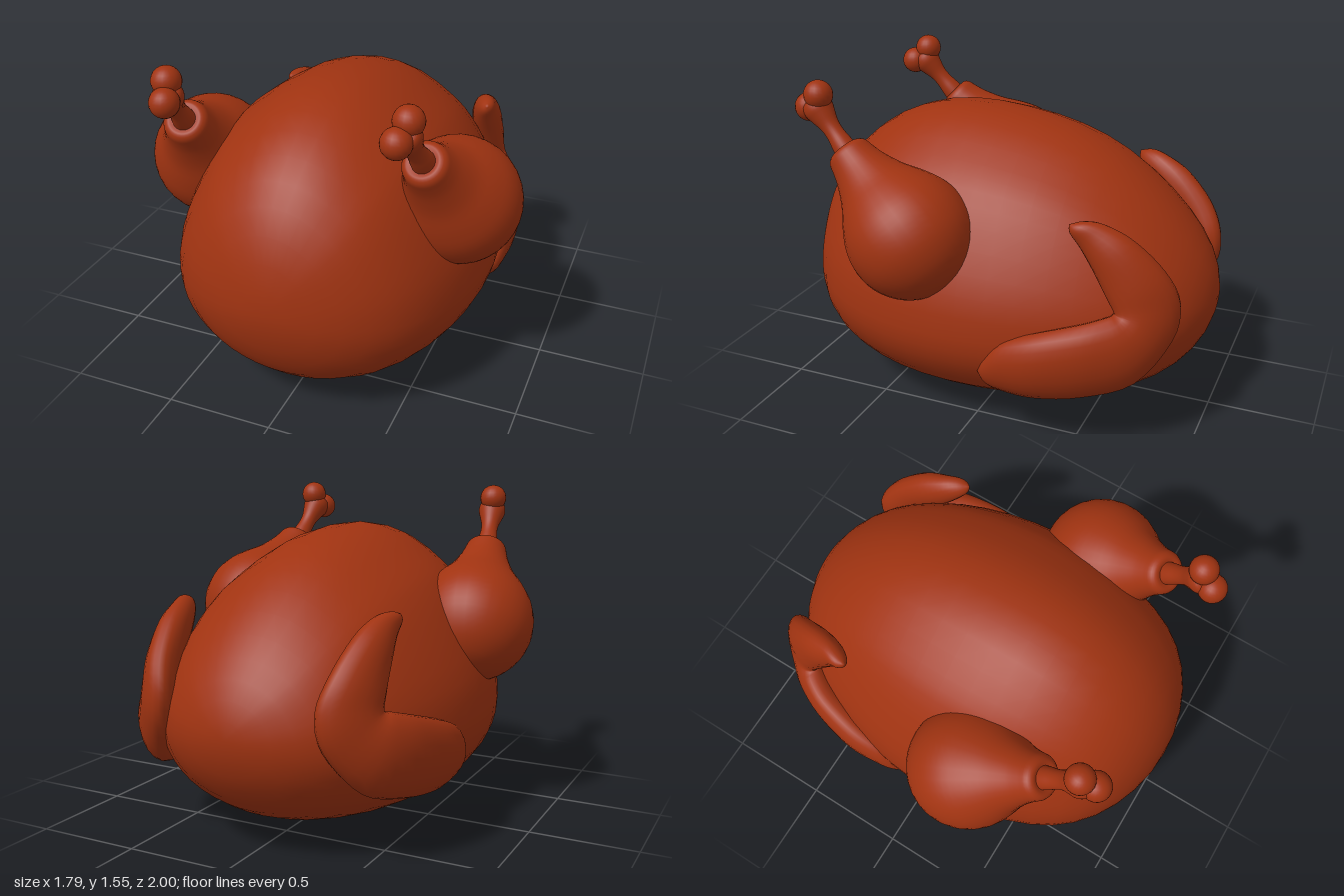
import * as THREE from 'three';
import { mergeVertices } from 'three/addons/utils/BufferGeometryUtils.js';

const V = (x, y, z) => new THREE.Vector3(x, y, z);
const spline = (pts) => new THREE.CatmullRomCurve3(pts, false, 'catmullrom', 0.5);
const material = new THREE.MeshStandardMaterial({ color: 0xa03311 });

function mesh(name, geometry) {
  const m = new THREE.Mesh(geometry, material);
  m.name = name;
  return m;
}

// Skin a list of closed rings with smooth normals
function loft(rings) {
  const n = rings[0].length;
  const index = [];
  for (let i = 0; i < rings.length - 1; i++) {
    for (let j = 0; j < n; j++) {
      const k = (j + 1) % n;
      const a = i * n + j, b = a + n, c = i * n + k, d = c + n;
      index.push(a, c, b, c, d, b);
    }
  }
  let g = new THREE.BufferGeometry().setFromPoints(rings.flat());
  g.setIndex(index);
  g = mergeVertices(g, 1e-5);
  g.computeVertexNormals();
  return g;
}

// Plump body: narrow-topped cross-section swept from front pole to back pole
function bodyGeometry() {
  // Half cross-section, x and y as fractions of half width and height
  const half = [[0, 1], [0.27, 0.95], [0.52, 0.81], [0.65, 0.71], [0.775, 0.56], [0.91, 0.34], [0.99, 0.13],
    [0.995, -0.12], [0.93, -0.37], [0.78, -0.63], [0.56, -0.83], [0.28, -0.96], [0, -1]];
  const outline = new THREE.CatmullRomCurve3(
    [...half, ...half.slice(1, -1).reverse().map(([x, y]) => [-x, y])].map(([x, y]) => V(x, y, 0)),
    true, 'catmullrom', 0.5);
  const section = outline.getPoints(48).slice(0, 48);
  // Half width, height above and depth below the middle, at even angles
  const size = spline([V(0.86, 1.02, 0.7), V(0.85, 1.0, 0.67), V(0.77, 0.955, 0.545), V(0.74, 0.86, 0.5),
    V(0.735, 0.815, 0.5), V(0.78, 0.71, 0.56), V(0.8, 0.66, 0.6)]);
  const middle = spline([0.6, 0.55, 0.5, 0.5, 0.5, 0.53, 0.56].map((y) => V(0, y, 0)));
  const rings = [];
  const steps = 24;
  for (let i = 0; i <= steps; i++) {
    const t = i / steps;
    const s = i === 0 || i === steps ? 0 : Math.sin(t * Math.PI);
    const z = Math.cos(t * Math.PI);
    const d = size.getPoint(t), y = middle.getPoint(t).y;
    // Sections grow rounder towards both ends
    const round = 0.5 * z * z;
    rings.push(section.map((p) => {
      const full = Math.sign(p.x) * Math.sqrt(Math.max(0, 1 - p.y * p.y));
      const x = THREE.MathUtils.lerp(p.x, full, round);
      return V(x * d.x * s, y + p.y * s * (p.y > 0 ? d.y : d.z), z);
    }));
  }
  return loft(rings);
}

// Folded wing: rounded sections between an outer and an inner edge
function wingGeometry() {
  // outer x, y, z, inner x, y, z, half thickness
  const stations = [
    [0.70, 0.35, -0.095, 0.70, 0.35, -0.095, 0],
    [0.675, 0.285, -0.13, 0.69, 0.43, -0.13, 0.05],
    [0.66, 0.255, -0.2, 0.69, 0.52, -0.21, 0.08],
    [0.645, 0.245, -0.35, 0.685, 0.585, -0.36, 0.1],
    [0.60, 0.27, -0.55, 0.645, 0.645, -0.55, 0.1],
    [0.515, 0.34, -0.76, 0.595, 0.675, -0.65, 0.095],
    [0.41, 0.53, -0.895, 0.57, 0.68, -0.67, 0.085],
    [0.385, 0.7, -0.915, 0.56, 0.69, -0.67, 0.08],
    [0.42, 0.85, -0.85, 0.55, 0.75, -0.63, 0.08],
    [0.46, 0.985, -0.72, 0.535, 0.86, -0.56, 0.075],
    [0.49, 1.05, -0.6, 0.53, 0.95, -0.5, 0.055],
    [0.52, 1.065, -0.52, 0.54, 1.01, -0.46, 0.035],
    [0.54, 1.05, -0.455, 0.54, 1.05, -0.455, 0],
  ];
  const outer = spline(stations.map((s) => V(s[0], s[1], s[2])));
  const inner = spline(stations.map((s) => V(s[3], s[4], s[5])));
  const thick = spline(stations.map((s) => V(s[6], 0, 0)));
  const rings = [];
  for (let i = 0; i <= 48; i++) {
    const t = i / 48;
    const o = outer.getPoint(t), e = inner.getPoint(t);
    const centre = o.clone().add(e).multiplyScalar(0.5);
    const across = e.clone().sub(o).multiplyScalar(0.5);
    const out = V(1, 0.15, 0.6 * o.z).normalize().multiplyScalar(thick.getPoint(t).x);
    rings.push(Array.from({ length: 20 }, (_, j) => {
      const a = (j / 20) * Math.PI * 2;
      return centre.clone().addScaledVector(across, Math.cos(a)).addScaledVector(out, Math.sin(a));
    }));
  }
  return loft(rings);
}

// Turned part whose profile [radius, distance] runs from one point towards another
function turned(name, profile, from, to) {
  const curve = new THREE.SplineCurve(profile.map(([r, h]) => new THREE.Vector2(r, h)));
  const points = curve.getPoints(profile.length * 3);
  points.forEach((p) => { p.x = Math.max(p.x, 0); });
  const m = mesh(name, new THREE.LatheGeometry(points, 32));
  m.position.copy(from);
  m.quaternion.setFromUnitVectors(V(0, 1, 0), to.clone().sub(from).normalize());
  return m;
}

function drumstick() {
  const leg = new THREE.Group();
  leg.name = 'drumstick';
  const thigh = V(0.61, 0.907, 0.26), cuff = V(0.55, 1.24, 0.6), end = V(0.52, 1.43, 0.765);

  // Meat with a rounded cuff around the bone
  leg.add(turned('legMeat', [[0, -0.285], [0.11, -0.263], [0.205, -0.2], [0.268, -0.105], [0.288, 0],
    [0.272, 0.1], [0.228, 0.19], [0.17, 0.28], [0.128, 0.37], [0.109, 0.43], [0.098, 0.47], [0.075, 0.49],
    [0.045, 0.485], [0, 0.475]], thigh, cuff));

  // Bone shaft flaring into two blunt knuckles
  leg.add(turned('legBone', [[0.058, -0.06], [0.05, 0.03], [0.042, 0.09], [0.044, 0.14], [0.058, 0.19],
    [0.068, 0.23], [0.055, 0.27], [0, 0.285]], cuff, end));
  for (const p of [V(0.53, 1.48, 0.742), V(0.505, 1.412, 0.81)]) {
    const knuckle = mesh('boneKnuckle', new THREE.SphereGeometry(0.066, 20, 14));
    knuckle.position.copy(p);
    leg.add(knuckle);
  }
  return leg;
}

export function createModel() {
  const model = new THREE.Group();
  model.name = 'roastBird';
  model.add(mesh('body', bodyGeometry()));

  // Drumstick and wing on each side
  const wing = wingGeometry();
  for (const side of [1, -1]) {
    const limbs = new THREE.Group();
    limbs.name = side > 0 ? 'leftLimbs' : 'rightLimbs';
    limbs.add(drumstick(), mesh('wing', wing));
    limbs.scale.x = side;
    model.add(limbs);
  }
  return model;
}
